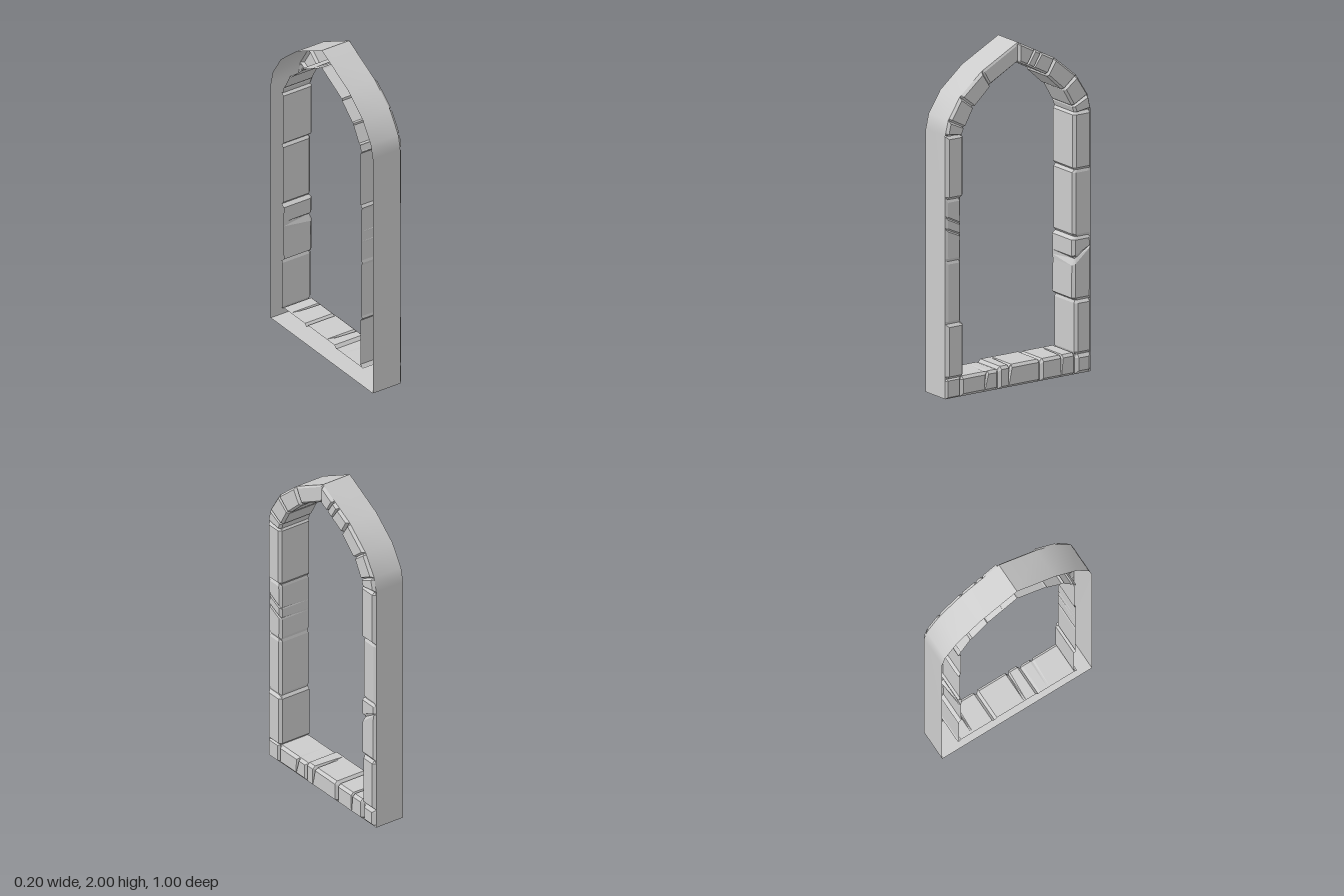
import * as THREE from 'three';

const BACK = -0.105, LOW = 0.083; // open back plane, depth of the joints
const lerp2 = (a, b, s) => [a[0] + (b[0] - a[0]) * s, a[1] + (b[1] - a[1]) * s];

const material = new THREE.MeshStandardMaterial({ color: 0xcccccc, side: THREE.DoubleSide });

// Skin a list of cross-sections, each a row of [x, y, z] points
function skin(name, rows, smooth) {
  const n = rows[0].length, index = [];
  for (let r = 0; r < rows.length - 1; r++) {
    for (let k = 0; k < n - 1; k++) {
      const a = r * n + k, b = a + 1, c = a + n, d = c + 1;
      index.push(a, b, c, b, d, c);
    }
  }
  let geometry = new THREE.BufferGeometry();
  geometry.setAttribute('position', new THREE.Float32BufferAttribute(rows.flat(2), 3));
  geometry.setIndex(index);
  if (!smooth) geometry = geometry.toNonIndexed();
  geometry.computeVertexNormals();
  const mesh = new THREE.Mesh(geometry, material);
  mesh.name = name;
  return mesh;
}

// One bevelled stone. o0, o1: outer corners, i0, i1: inner corners, as [z, y].
// cracks: [outer position, inner position, outer half width, inner half width]
function stone(name, o0, i0, o1, i1, { h = 0.1, grow = 0, cracks = [], reveal = true, bevel = 0.016 } = {}) {
  const length = Math.hypot(o1[0] - o0[0], o1[1] - o0[1]);
  const e = bevel / length;
  const row = (so, si, raised, crack) => {
    const O = lerp2(o0, o1, so), I = lerp2(i0, i1, si);
    const w = Math.hypot(I[0] - O[0], I[1] - O[1]);
    const b = bevel / w, full = 1 + grow / w, x = raised ? h : LOW;
    const edge = raised ? full : 1 - 0.004 / w;
    const points = [[0, LOW], [b, x], [edge - b, x], [edge, raised ? h - 0.016 : LOW - 0.004]];
    if (reveal) points.push([crack ? full : edge, BACK]);
    return points.map(([f, px]) => {
      const p = lerp2(O, I, f);
      return [px, p[1], p[0]];
    });
  };
  const rows = [row(0, 0, false), row(e, e, true)];
  for (const [co, ci, wo, wi] of cracks) {
    rows.push(row(co - wo, ci - wi, true), row(co, ci, false, true), row(co + wo, ci + wi, true));
  }
  rows.push(row(1 - e, 1 - e, true), row(1, 1, false));
  return skin(name, rows, false);
}

export function createModel() {
  const model = new THREE.Group();
  model.name = 'archedStoneFrame';

  // Outer and inner corners of the arch joints, from spring to apex
  const archOuter = [[0.5, 1.535], [0.48, 1.62], [0.4, 1.745], [0.25, 1.87], [0, 2]];
  const archInner = [[0.388, 1.525], [0.373, 1.565], [0.31, 1.675], [0.195, 1.78], [0, 1.885]];
  const flip = ([z, y]) => [-z, y];

  // Smooth outer wall in two halves, with a flat underside
  const wall = (name, path) =>
    model.add(skin(name, path.map(([z, y]) => [[BACK, y, z], [LOW, y, z]]), true));
  const half = [[0.5, 0], ...archOuter];
  wall('outerWallFront', half);
  wall('outerWallBack', half.map(flip).reverse());
  wall('underside', [[-0.5, 0], [0.5, 0]]);

  // Jamb stones: joint heights, then the options of each stone
  const jamb = (name, side, joints, options) => {
    for (let k = 0; k < options.length; k++) {
      const ends = [[joints[k], 0], [joints[k + 1], 0]];
      if (side < 0) ends.reverse();
      const [a, b] = ends.map((v) => v[0]);
      model.add(stone(name, [side * 0.5, a], [side * 0.39, a], [side * 0.5, b], [side * 0.39, b], options[k]));
    }
  };
  jamb('frontJambStone', 1, [0.115, 0.435, 0.8, 1.16, 1.53], [
    { grow: 0.01 },
    { h: 0.09 },
    { h: 0.09, cracks: [[0.53, 0.39, 0.025, 0.025], [0.72, 0.57, 0.025, 0.02]] },
    { grow: 0.008 },
  ]);
  jamb('backJambStone', -1, [0.115, 0.43, 0.8, 1.19, 1.53], [
    { grow: 0.002 },
    { h: 0.095, grow: 0.018, cracks: [[0.16, 0.35, 0.012, 0.07]] },
    { h: 0.09, grow: 0.01 },
    { grow: 0.014 },
  ]);

  // Arch stones, the two sides mirrored
  const frontOptions = [{}, { h: 0.1, grow: 0.004 }, { h: 0.1, grow: 0.006 }, { h: 0.09 }];
  const backOptions = [{}, {}, { grow: 0.006 },
    { cracks: [[0.44, 0.28, 0.03, 0.03], [0.62, 0.5, 0.03, 0.02]] }];
  for (let k = 0; k < 4; k++) {
    const [o, i, p, j] = [archOuter[k], archInner[k], archOuter[k + 1], archInner[k + 1]];
    model.add(stone('frontArchStone', o, i, p, j, { bevel: 0.012, ...frontOptions[k] }));
    // Cracks run from apex to spring on this side
    model.add(stone('backArchStone', flip(p), flip(j), flip(o), flip(i), { bevel: 0.012, ...backOptions[k] }));
  }

  // Sill stones between the corner blocks
  const sill = (name, a, b, options) =>
    model.add(stone(name, [a, 0], [a, 0.117], [b, 0], [b, 0.117], options));
  sill('cornerBlock', -0.5, -0.39, { reveal: false, h: 0.1, bevel: 0.02, grow: -0.002 });
  sill('sillStone', -0.39, -0.15, { grow: 0.012, cracks: [[0.42, 0.4, 0.003, 0.035]] });
  sill('sillStone', -0.15, 0.14, { grow: 0.014, cracks: [[0.78, 0.73, 0.003, 0.04]] });
  sill('sillStone', 0.14, 0.4, { h: 0.095, cracks: [[0.38, 0.3, 0.004, 0.05]] });
  sill('cornerBlock', 0.4, 0.5, { reveal: false, h: 0.095, bevel: 0.01 });

  return model;
}
